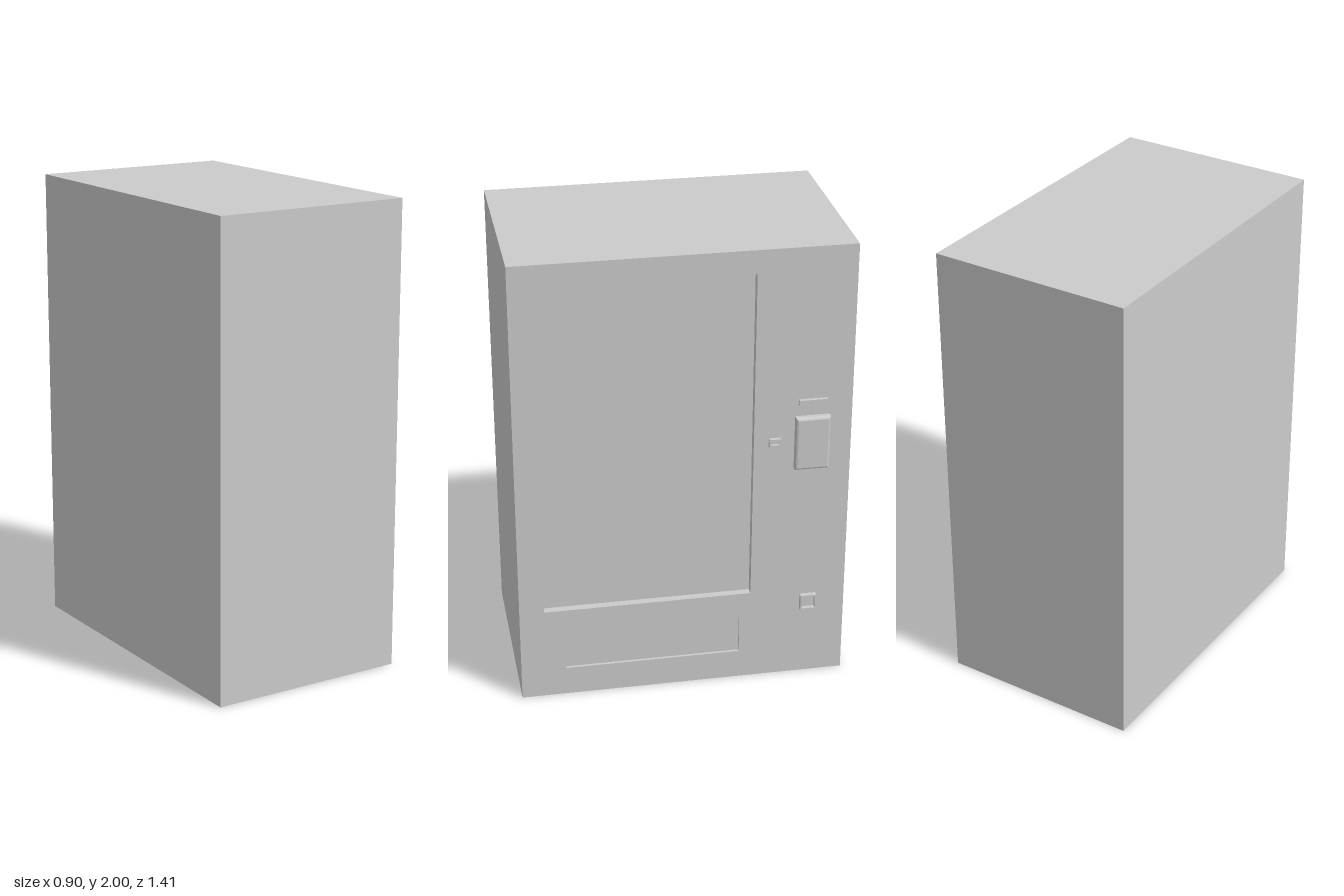
import * as THREE from 'three';
import { mergeGeometries } from 'three/addons/utils/BufferGeometryUtils.js';

const material = new THREE.MeshStandardMaterial({ color: 0xcccccc });

// Rectangles are [left, right, bottom, top] in the plane of the machine's door.
function outline([l, r, b, t], Type = THREE.Shape) {
  return new Type([[l, b], [r, b], [r, t], [l, t]].map(([x, y]) => new THREE.Vector2(x, y)));
}

// Box without its front face; inward turns it into a tray seen from inside.
function openBox([l, r, b, t], back, front, inward = false) {
  const g = new THREE.BoxGeometry(r - l, t - b, front - back);
  g.translate((l + r) / 2, (b + t) / 2, (back + front) / 2);
  const index = Array.from(g.index.array);
  index.splice(24, 6);
  g.setIndex(inward ? index.reverse() : index);
  g.clearGroups();
  if (inward) g.attributes.normal.array.forEach((v, i, a) => { a[i] = -v; });
  return g;
}

// Block whose front face has rectangular recesses: { rect, depth }.
function recessedBlock(name, rect, back, front, recesses) {
  const face = outline(rect);
  face.holes = recesses.map((h) => outline(h.rect, THREE.Path));
  const parts = [
    openBox(rect, back, front),
    new THREE.ShapeGeometry(face).translate(0, 0, front),
    ...recesses.map((h) => openBox(h.rect, front - h.depth, front, true)),
  ];
  return named(name, mergeGeometries(parts));
}

function named(name, geometry) {
  const mesh = new THREE.Mesh(geometry, material);
  mesh.name = name;
  return mesh;
}

export function createModel() {
  const model = new THREE.Group();
  model.name = 'vendingMachine';
  const door = 0.42;

  // Cabinet with the display window and the pickup slot sunk into the door
  const cabinet = recessedBlock('cabinet', [-0.705, 0.705, 0, 2], -0.45, door, [
    { rect: [-0.6, 0.292, 0.42, 1.9], depth: 0.034 },
    { rect: [-0.51, 0.245, 0.13, 0.297], depth: 0.012 },
  ]);

  // Keypad panel with softened edges, its back sunk into the door
  const bevel = 0.01;
  const keypad = named('keypadPanel', new THREE.ExtrudeGeometry(
    outline([0.464 + bevel, 0.61 - bevel, 1.015 + bevel, 1.255 - bevel]),
    { depth: 0.03, bevelSize: bevel, bevelThickness: bevel, bevelSegments: 2 },
  ).translate(0, 0, door));
  keypad.position.z = -bevel;

  // Note slot bar above the keypad
  const bar = named('noteSlotBar', new THREE.BoxGeometry(0.12, 0.026, 0.016));
  bar.position.set(0.537, 1.318, door + 0.008);

  // Small coin slot beside the keypad, and the coin return cup
  const coinSlot = recessedBlock('coinSlot', [0.355, 0.404, 1.123, 1.162], door, 0.437, [
    { rect: [0.36, 0.399, 1.136, 1.149], depth: 0.012 },
  ]);
  const coinReturn = recessedBlock('coinReturn', [0.509, 0.58, 0.323, 0.394], door, 0.442, [
    { rect: [0.517, 0.572, 0.331, 0.386], depth: 0.018 },
  ]);

  model.add(cabinet, keypad, bar, coinSlot, coinReturn);
  // The door side is turned to +x
  model.rotation.y = Math.PI / 2;
  const root = new THREE.Group();
  root.add(model);
  return root;
}
